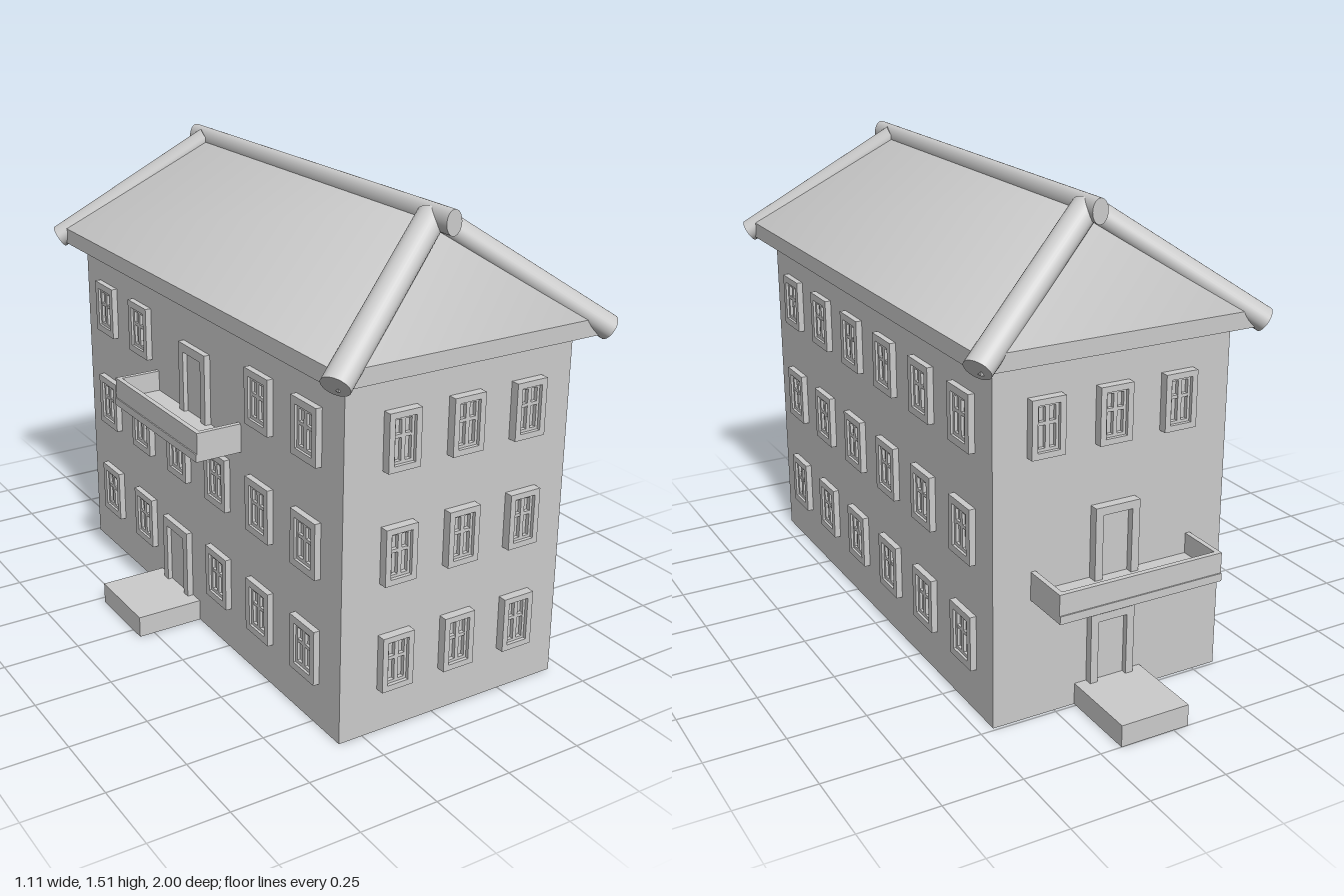
import * as THREE from 'three';

const grey = new THREE.MeshStandardMaterial({ color: 0xcccccc });
const X0 = -0.33, X1 = 0.455, Z0 = -0.74, Z1 = 0.89; // wall planes
const CX = 0.063; // ridge line

function mesh(name, geometry) {
  const m = new THREE.Mesh(geometry, grey);
  m.name = name;
  return m;
}

// Box given by its minimum and maximum corners
function box(name, x0, x1, y0, y1, z0, z1) {
  const m = mesh(name, new THREE.BoxGeometry(x1 - x0, y1 - y0, z1 - z0));
  m.position.set((x0 + x1) / 2, (y0 + y1) / 2, (z0 + z1) / 2);
  return m;
}

function group(name, ...parts) {
  const g = new THREE.Group();
  g.name = name;
  g.add(...parts);
  return g;
}

// Rectangular frame standing on y = b, open from y = holeBottom upwards
function frame(name, w, h, t, d) {
  const s = new THREE.Shape([[-w / 2, 0], [w / 2, 0], [w / 2, h], [-w / 2, h]].map(p => new THREE.Vector2(...p)));
  const a = w / 2 - t;
  s.holes.push(new THREE.Path([[-a, t], [-a, h - t], [a, h - t], [a, t]].map(p => new THREE.Vector2(...p))));
  return mesh(name, new THREE.ExtrudeGeometry(s, { depth: d, bevelEnabled: false }));
}

// Window: outer frame, inner sash and cross bars over a recessed pane
function makeWindow(w, h, d) {
  const t = w * 0.17, s = w * 0.08;
  const sash = frame('sash', w - 2 * t, h - 2 * t, s, d * 0.6);
  sash.position.y = t;
  return group('window',
    frame('windowFrame', w, h, t, d),
    sash,
    box('pane', -w / 2 + t, w / 2 - t, t, h - t, 0, d * 0.15),
    box('mullion', -w * 0.06, w * 0.06, t, h - t, 0, d * 0.6),
    box('crossBar', -w / 2 + t, w / 2 - t, h * 0.54, h * 0.6, 0, d * 0.58));
}

// Door: two posts, a lintel and a recessed panel
function makeDoor(w, h, d) {
  const t = w * 0.17, a = w / 2;
  return group('door',
    box('leftPost', a - t, a, 0, h, 0, d),
    box('rightPost', -a, -a + t, 0, h, 0, d),
    box('lintel', -a + t, a - t, h - t, h, 0, d),
    box('doorPanel', -a + t, a - t, 0, h - t, 0, d * 0.25));
}

// Balcony: floor with a thin parapet on three sides
function makeBalcony(w, h, d) {
  const t = 0.016, a = w / 2;
  return group('balcony',
    box('balconyFloor', -a, a, 0, 0.025, 0, d),
    box('frontParapet', -a, a, 0.025, h, d - t - 0.004, d - 0.004),
    box('leftParapet', a - t, a, 0.025, h, 0, d - t - 0.004),
    box('rightParapet', -a, -a + t, 0.025, h, 0, d - t - 0.004));
}

// Elliptical beam between two points
function beam(name, from, to, rSide, rUp) {
  const dir = to.clone().sub(from), len = dir.length();
  dir.normalize();
  const side = dir.clone().cross(new THREE.Vector3(0, 1, 0)).normalize();
  const up = side.clone().cross(dir);
  const g = new THREE.CylinderGeometry(1, 1, len, 32);
  g.scale(rSide, 1, rUp);
  g.applyMatrix4(new THREE.Matrix4().makeBasis(side, dir, up));
  const m = mesh(name, g);
  m.position.copy(from).add(to).multiplyScalar(0.5);
  return m;
}

// Hipped roof with softly blended normals
function makeHip(x0, x1, z0, z1, y, ridgeY, r0, r1) {
  const g = new THREE.BufferGeometry();
  g.setAttribute('position', new THREE.Float32BufferAttribute([
    x0, y, z0, x1, y, z0, x1, y, z1, x0, y, z1, CX, ridgeY, r0, CX, ridgeY, r1], 3));
  g.setIndex([3, 2, 5, 2, 1, 4, 2, 4, 5, 1, 0, 4, 0, 3, 5, 0, 5, 4]);
  g.computeVertexNormals();
  return mesh('hippedRoof', g);
}

export function createModel() {
  const model = new THREE.Group();
  model.name = 'house';

  // Put a part on a wall; u runs along the wall
  const walls = {
    front: (u, y) => [u, y, Z1, 0],
    back: (u, y) => [u, y, Z0, Math.PI],
    right: (u, y) => [X1, y, u, Math.PI / 2],
    left: (u, y) => [X0, y, u, -Math.PI / 2],
  };
  const place = (part, wall, u, y) => {
    const [x, py, z, angle] = walls[wall](u, y);
    part.position.set(x, py, z);
    part.rotation.y = angle;
    model.add(part);
  };

  model.add(box('walls', X0, X1, 0, 1.125, Z0, Z1));

  // Roof
  model.add(box('eaves', -0.398, 0.524, 1.118, 1.17, -0.81, 0.96));
  model.add(makeHip(-0.398, 0.524, -0.81, 0.96, 1.17, 1.482, -0.57, 0.72));
  const v = (x, y, z) => new THREE.Vector3(x, y, z);
  model.add(beam('ridgeBeam', v(CX, 1.47, -0.645), v(CX, 1.47, 0.82), 0.026, 0.038));
  for (const sx of [-1, 1]) {
    for (const [zLow, zTop] of [[0.955, 0.72], [-0.8, -0.57]]) {
      model.add(beam('hipBeam', v(CX + sx * 0.467, 1.133, zLow), v(CX, 1.47, zTop), 0.045, 0.038));
    }
  }

  // Windows, leaving gaps for the doors
  [0.142, 0.483, 0.828].forEach((y, floor) => {
    for (const x of [-0.148, 0.071, 0.292]) {
      place(makeWindow(0.108, 0.176, 0.028), 'front', x, y);
      if (floor === 2) place(makeWindow(0.108, 0.176, 0.028), 'back', x, y);
    }
    for (let i = 0; i < 6; i++) {
      const z = -0.572 + i * 0.2576;
      place(makeWindow(0.132, 0.176, 0.02), 'right', z, y);
      const doorway = (floor === 0 && i === 2) || (floor === 2 && (i === 2 || i === 3));
      if (!doorway) place(makeWindow(0.132, 0.176, 0.02), 'left', z, y);
    }
  });

  // Doors, balconies and steps
  place(makeDoor(0.15, 0.225, 0.025), 'back', 0.065, 0.07);
  place(makeDoor(0.15, 0.235, 0.03), 'back', 0.06, 0.405);
  place(makeDoor(0.17, 0.23, 0.02), 'left', -0.08, 0.07);
  place(makeDoor(0.17, 0.23, 0.02), 'left', 0.065, 0.733);
  place(makeBalcony(0.55, 0.09, 0.165), 'back', 0.057, 0.386);
  place(makeBalcony(0.555, 0.092, 0.153), 'left', 0.06, 0.71);
  model.add(box('backStep', -0.05, 0.18, 0, 0.07, -1, Z0 + 0.01));
  model.add(box('sideStep', -0.552, X0 + 0.01, 0, 0.07, -0.22, 0.052));
  return model;
}
